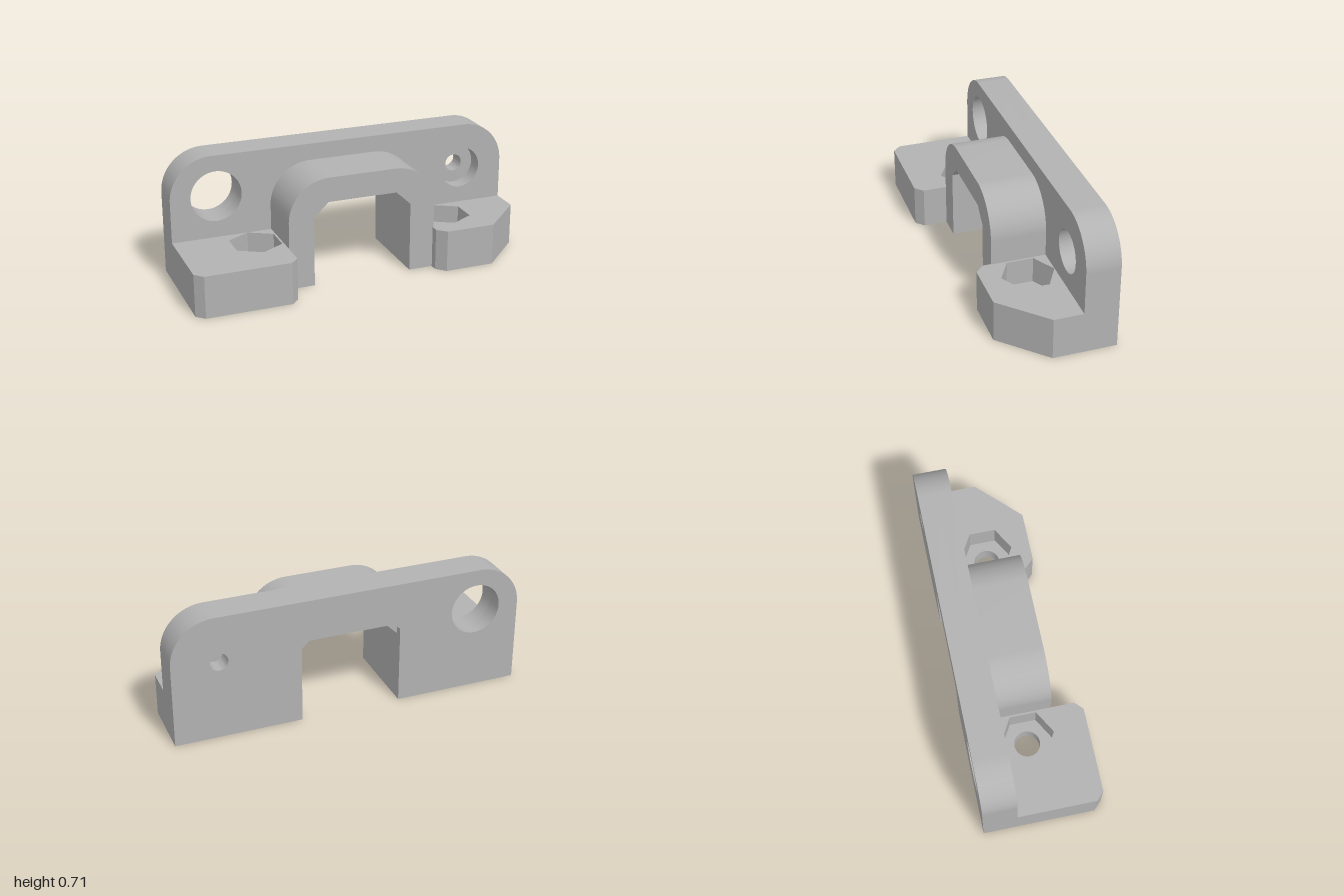
import * as THREE from 'three';
import { toCreasedNormals } from 'three/addons/utils/BufferGeometryUtils.js';

export function createModel() {
  const model = new THREE.Group();
  model.name = 'mountingBracket';
  const grey = new THREE.MeshStandardMaterial({ color: 0xb2b2b2 });
  grey.name = 'grey plastic';

  const extrude = (shape, depth) => toCreasedNormals(
    new THREE.ExtrudeGeometry(shape, { depth, bevelEnabled: false, curveSegments: 20 }), 0.5);

  function add(name, geometry) {
    const mesh = new THREE.Mesh(geometry, grey);
    mesh.name = name;
    model.add(mesh);
  }

  // Upright slab between two z values
  const upright = (name, shape, z0, z1) => add(name, extrude(shape, z1 - z0).translate(0, 0, z0));

  // Flat slab between two heights; its shape is drawn in x and -z
  const flat = (name, shape, y0, y1) =>
    add(name, extrude(shape, y1 - y0).rotateX(-Math.PI / 2).translate(0, y0, 0));

  const polygon = (points) => new THREE.Shape(points.map(([x, y]) => new THREE.Vector2(x, y)));

  const circle = (x, y, r) => new THREE.Path().absarc(x, y, r, 0, Math.PI * 2, true);

  const hexagon = (x, r) => new THREE.Path(Array.from({ length: 6 }, (_, i) => {
    const a = Math.PI / 2 - i * Math.PI / 3;
    return new THREE.Vector2(x + r * Math.cos(a), r * Math.sin(a));
  }));

  // Round-shouldered bridge with a central opening
  const openX = 0.285, openY = 0.48, nick = 0.035;
  function bridge(w, h, r) {
    const s = new THREE.Shape();
    s.moveTo(openX, 0);
    s.lineTo(w, 0);
    s.lineTo(w, h - r);
    s.absarc(w - r, h - r, r, 0, Math.PI / 2, false);
    s.lineTo(-w + r, h);
    s.absarc(-w + r, h - r, r, Math.PI / 2, Math.PI, false);
    s.lineTo(-w, 0);
    s.lineTo(-openX, 0);
    s.lineTo(-openX, openY - nick);
    s.lineTo(-openX + nick, openY);
    s.lineTo(openX - nick, openY);
    s.lineTo(openX, openY - nick);
    s.closePath();
    return s;
  }

  // Back plate in two layers, so that the screw hole has a counterbore
  const zBack = -0.34, zStep = -0.24, zPlate = -0.15, zArch = 0.16;
  for (const [name, z0, z1, r] of [
    ['backPlateRear', zBack, zStep, 0.05],
    ['backPlateFront', zStep, zPlate, 0.12],
  ]) {
    const s = bridge(1, 0.715, 0.24);
    s.holes.push(circle(-0.74, 0.48, 0.145), circle(0.74, 0.455, r));
    upright(name, s, z0, z1);
  }

  // Arch in front of the plate
  upright('arch', bridge(0.43, 0.62, 0.235), zPlate, zArch);

  // Corner ribs inside the opening
  for (const side of [1, -1]) {
    const corner = [[openX, 0.4], [openX, openY], [0.2, openY]].map(([x, y]) => [side * x, y]);
    for (const [z0, z1] of [[-0.3, -0.18], [-0.12, 0], [0.05, zArch]]) {
      upright('cornerRib', polygon(corner), z0, z1);
    }
  }

  // Feet, each with a bolt hole below a hexagonal nut pocket
  const feet = [
    ['rightFoot', -0.57, [[-1, 0.15], [-1, -0.295], [-0.955, -0.34], [-0.475, -0.34],
      [-0.43, -0.295], [-0.43, 0.15]]],
    ['leftFoot', 0.57, [[0.425, 0.15], [0.425, -0.205], [0.475, -0.255], [0.76, -0.255],
      [1, -0.015], [1, 0.15]]],
  ];
  const floorY = 0.09, footY = 0.24;
  for (const [name, x, outline] of feet) {
    const base = polygon(outline);
    base.holes.push(circle(x, 0, 0.073));
    flat(name + 'Base', base, 0, floorY);
    const top = polygon(outline);
    top.holes.push(hexagon(x, 0.149));
    flat(name + 'Top', top, floorY, footY);
  }

  return model;
}
